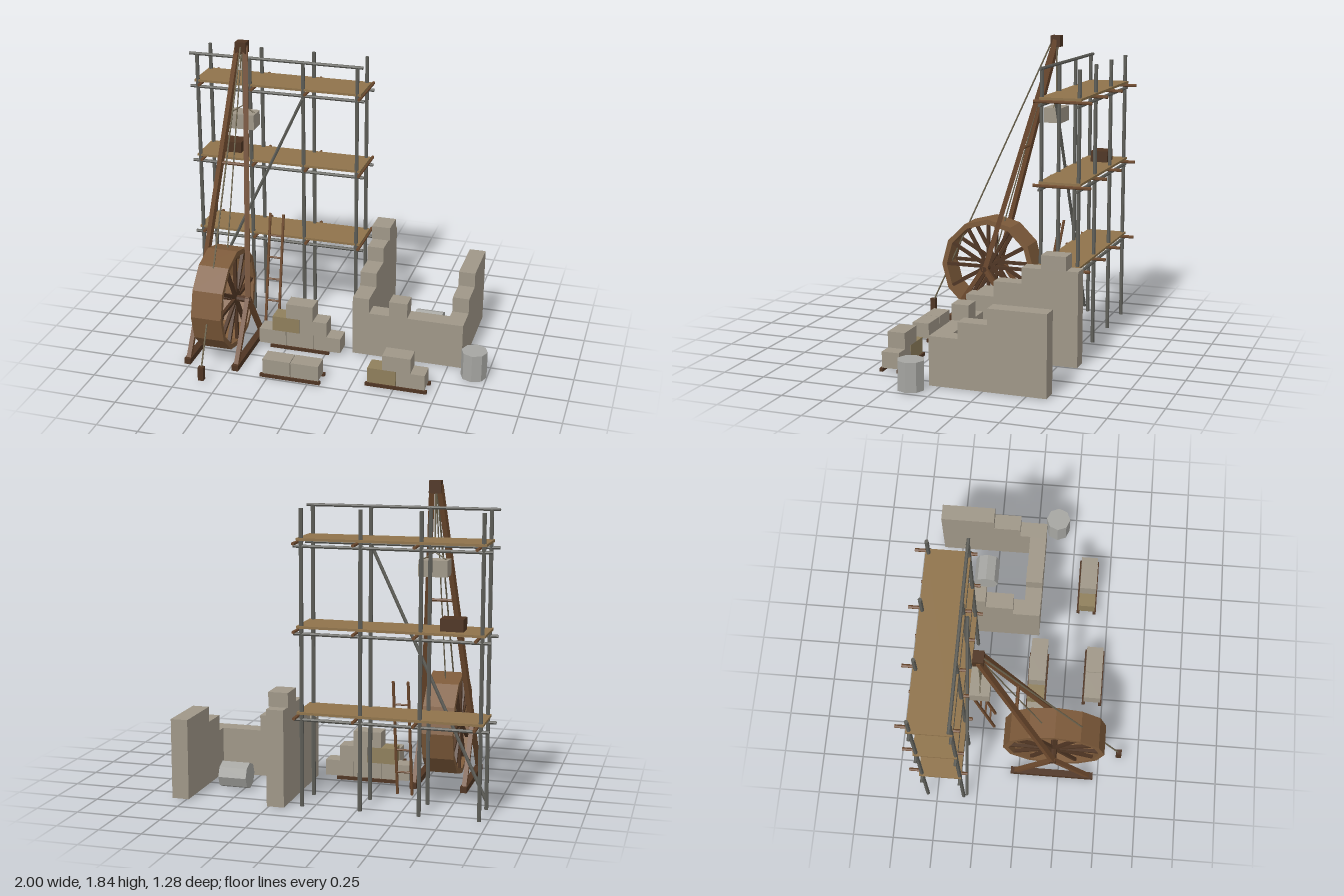
import * as THREE from 'three';

const mat = (color) => new THREE.MeshStandardMaterial({ color, flatShading: true });

export function createModel() {
  const model = new THREE.Group();
  const M = {
    pole: mat(0x5e5e58), plank: mat(0x8f734b), wood: mat(0x7d5a3a), dark: mat(0x4f3523),
    log: mat(0x6e4a2e), rope: mat(0x6f6650), stone: mat(0x9f9788), tan: mat(0x8f7f5c), drum: mat(0xa6a6a2),
  };
  const group = (name, parent = model) => {
    const g = new THREE.Group();
    g.name = name;
    parent.add(g);
    return g;
  };
  const add = (parent, name, geo, m) => {
    const mesh = new THREE.Mesh(geo, m);
    mesh.name = name;
    parent.add(mesh);
    return mesh;
  };
  // Box given by its extents on each axis
  const block = (parent, name, m, [x0, x1], [y0, y1], [z0, z1]) => {
    const b = add(parent, name, new THREE.BoxGeometry(x1 - x0, y1 - y0, z1 - z0), m);
    b.position.set((x0 + x1) / 2, (y0 + y1) / 2, (z0 + z1) / 2);
    return b;
  };
  const place = (mesh, a, b) => {
    mesh.position.copy(a).add(b).multiplyScalar(0.5);
    return mesh;
  };
  // Round pole between two points
  const rod = (parent, name, m, p, q, r, sides = 6) => {
    const a = new THREE.Vector3(...p), b = new THREE.Vector3(...q);
    const mesh = place(add(parent, name, new THREE.CylinderGeometry(r, r, a.distanceTo(b), sides), m), a, b);
    mesh.quaternion.setFromUnitVectors(new THREE.Vector3(0, 1, 0), b.sub(a).normalize());
    return mesh;
  };
  // Square beam between two points
  const beam = (parent, name, m, p, q, w) => {
    const a = new THREE.Vector3(...p), b = new THREE.Vector3(...q);
    const mesh = place(add(parent, name, new THREE.BoxGeometry(w, w, a.distanceTo(b)), m), a, b);
    mesh.lookAt(b);
    return mesh;
  };

  // Scaffold: two rows of poles, three decks
  const scaffold = group('scaffold');
  const rows = [-0.334, -0.56];
  for (let i = 0; i < 4; i++) {
    const x = -0.952 + i * 0.339;
    for (const z of rows) rod(scaffold, 'scaffoldPole', M.pole, [x, 0.01, z], [x, 1.705, z], 0.012);
  }
  for (let k = 0; k < 3; k++) {
    const y = 0.515 + k * 0.49;
    for (const z of rows) rod(scaffold, 'ledger', M.pole, [-1, y, z], [0.11, y, z], 0.01);
    for (let i = 0; i < 4; i++) {
      const x = -0.93 + i * 0.339;
      rod(scaffold, 'putlog', M.log, [x, y + 0.022, -0.29], [x, y + 0.022, -0.64], 0.01);
    }
    block(scaffold, 'deck', M.plank, [-0.97, 0.09], [y + 0.032, y + 0.046], [-0.577, -0.325]);
  }
  rod(scaffold, 'handRail', M.pole, [-1, 1.704, -0.334], [0.1, 1.704, -0.334], 0.01);
  rod(scaffold, 'brace', M.pole, [-0.95, 0.045, -0.313], [-0.273, 1.48, -0.313], 0.01);
  block(scaffold, 'toolChest', M.dark, [-0.84, -0.71], [1.05, 1.12], [-0.517, -0.41]);

  // Ladder leaning on the lowest deck
  const ladder = group('ladder');
  const ladderZ = (y) => -0.18 - (y - 0.01) * 0.18;
  for (const x of [-0.487, -0.4]) {
    beam(ladder, 'ladderRail', M.log, [x, 0.01, ladderZ(0.01)], [x, 0.71, ladderZ(0.71)], 0.014);
  }
  for (let y = 0.15; y < 0.7; y += 0.14) {
    rod(ladder, 'rung', M.log, [-0.487, y, ladderZ(y)], [-0.4, y, ladderZ(y)], 0.006);
  }

  // Treadwheel crane
  const crane = group('crane');
  const cx = -0.613, hubY = 0.36, hubZ = 0.213;
  const wheel = group('treadwheel', crane);
  wheel.position.set(cx, hubY, hubZ);
  const ringPoints = (r) => Array.from({ length: 12 }, (_, i) =>
    new THREE.Vector2(Math.cos(i * Math.PI / 6) * r, Math.sin(i * Math.PI / 6) * r));
  const ring = new THREE.Shape(ringPoints(0.312));
  ring.holes.push(new THREE.Path(ringPoints(0.28)));
  const rimGeo = new THREE.ExtrudeGeometry(ring, { depth: 0.187, bevelEnabled: false });
  rimGeo.translate(0, 0, -0.0935).rotateY(Math.PI / 2);
  add(wheel, 'wheelRim', rimGeo, M.wood);
  for (const x of [-0.075, 0.075]) {
    for (let i = 0; i < 6; i++) {
      const spoke = add(wheel, 'spokePair', new THREE.BoxGeometry(0.02, 0.57, 0.02), M.dark);
      spoke.position.x = x;
      spoke.rotation.x = i * Math.PI / 6;
    }
  }
  rod(crane, 'axle', M.dark, [cx - 0.168, hubY, hubZ], [cx + 0.168, hubY, hubZ], 0.02, 8);

  // Side trestles and mast legs, mirrored about the wheel
  for (const s of [-1, 1]) {
    const x = cx + s * 0.152;
    block(crane, 'sill', M.dark, [x - 0.02, x + 0.02], [0.005, 0.04], [-0.05, 0.47]);
    for (const z of [-0.025, 0.445]) {
      beam(crane, 'trestleLeg', M.log, [x, 0.02, z], [x, hubY + 0.01, hubZ], 0.027);
    }
    beam(crane, 'mastLeg', M.log, [x, hubY - 0.01, hubZ], [cx + s * 0.022, 1.82, -0.208], 0.03);
  }
  rod(crane, 'mastRung', M.log, [cx - 0.093, 1.14, -0.012], [cx + 0.093, 1.14, -0.012], 0.01);
  block(crane, 'mastHead', M.dark, [cx - 0.034, cx + 0.034], [1.775, 1.845], [-0.24, -0.18]);
  block(crane, 'anchorPost', M.dark, [cx - 0.017, cx + 0.017], [0.01, 0.095], [0.61, 0.643]);
  rod(crane, 'backStay', M.rope, [cx, 0.08, 0.625], [cx, 1.83, -0.19], 0.005);
  rod(crane, 'hoistRope', M.rope, [cx, hubY, hubZ], [cx, 1.79, -0.2], 0.004);
  rod(crane, 'loadRope', M.rope, [cx, 1.44, -0.212], [cx, 1.79, -0.212], 0.005);
  for (const s of [-1, 1]) {
    rod(crane, 'sling', M.rope, [cx, 1.445, -0.212], [cx + s * 0.07, 1.4, -0.212], 0.004);
  }
  block(crane, 'hoistedStone', M.stone, [cx - 0.083, cx + 0.083], [1.31, 1.403], [-0.268, -0.157]);

  // Unfinished stepped walls
  const walls = group('walls');
  const wing = (x0, x1, heights) => {
    const cuts = [0.06, -0.11, -0.28, -0.62];
    heights.forEach((h, i) => block(walls, 'wingWall', M.stone, [x0, x1], [0.01, h], [cuts[i + 1], cuts[i]]));
  };
  wing(0.155, 0.257, [0.388, 0.48, 0.575]);
  wing(0.733, 0.834, [0.293, 0.388, 0.48]);
  block(walls, 'frontWall', M.stone, [0.257, 0.733], [0.01, 0.293], [-0.045, 0.06]);
  block(walls, 'wallBlock', M.stone, [0.38, 0.493], [0.293, 0.388], [-0.045, 0.06]);
  block(walls, 'topStone', M.stone, [0.15, 0.266], [0.575, 0.66], [-0.55, -0.4]);

  // Stone piles on skids: rows of [start x, count], tan marks the odd-coloured block
  const pile = (z, skid, courses, tan) => {
    const g = group('stonePile');
    for (const s of [-0.053, 0.053]) {
      block(g, 'skid', M.dark, skid, [0.01, 0.03], [z + s - 0.01, z + s + 0.01]);
    }
    courses.forEach(([start, count], row) => {
      for (let i = 0; i < count; i++) {
        const x = start + i * 0.174, y = 0.03 + row * 0.095;
        const m = tan && tan[0] === row && tan[1] === i ? M.tan : M.stone;
        block(g, 'cutStone', m, [x, x + 0.17], [y, y + 0.095], [z - 0.053, z + 0.053]);
      }
    });
  };
  pile(0.073, [-0.35, 0.025], [[-0.422, 3], [-0.336, 2], [-0.248, 1]], [1, 0]);
  pile(0.433, [-0.295, 0.075], [[-0.28, 2]]);
  pile(0.358, [0.33, 0.7], [[0.342, 2], [0.43, 1]], [0, 0]);

  // Loose column drums
  rod(model, 'standingDrum', M.drum, [0.922, 0.01, 0.13], [0.922, 0.18, 0.13], 0.078, 8);
  rod(model, 'fallenDrum', M.drum, [0.465, 0.088, -0.317], [0.636, 0.088, -0.317], 0.078, 8);

  return model;
}
